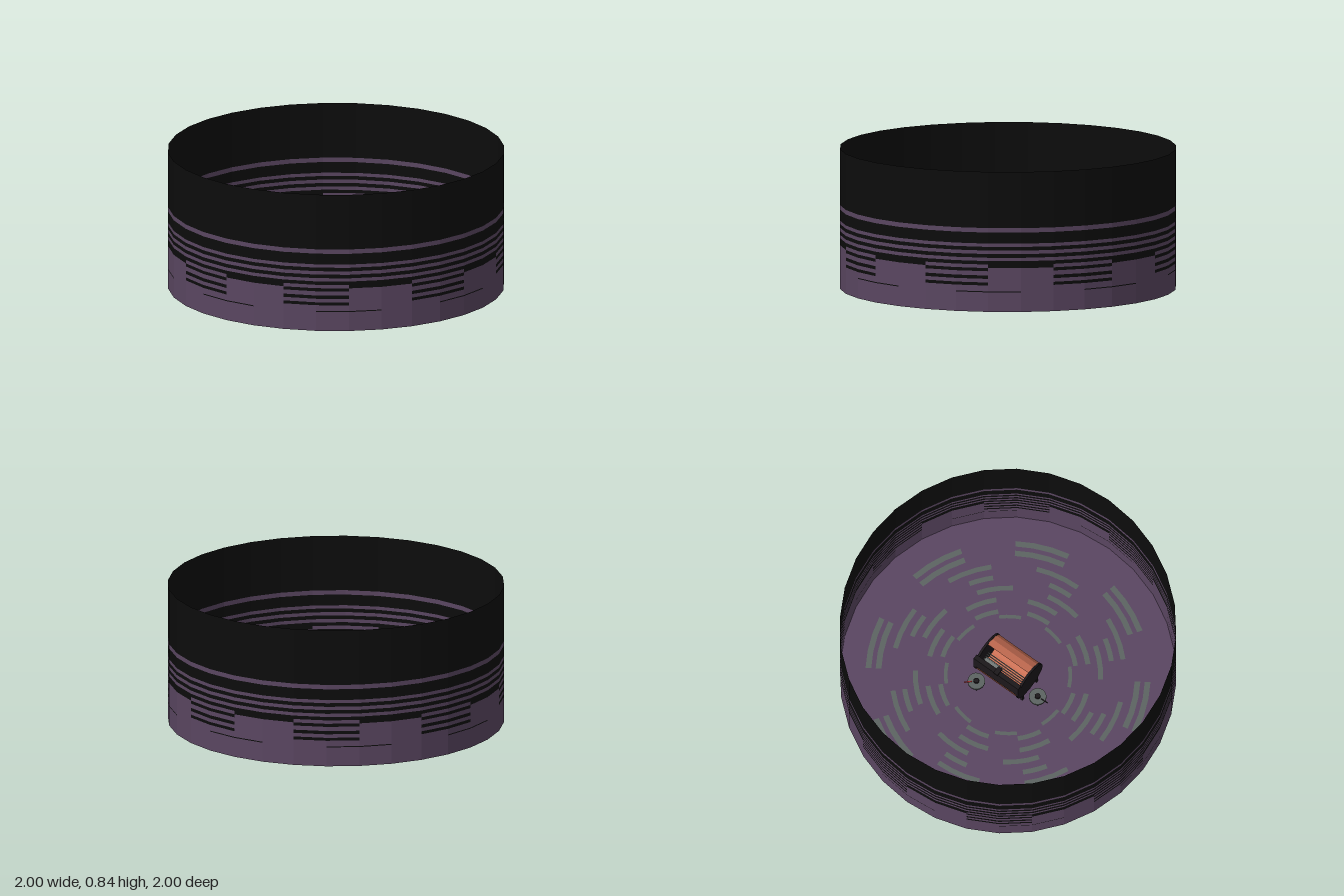
import * as THREE from 'three';
import { mergeGeometries } from 'three/addons/utils/BufferGeometryUtils.js';

const SIDES = 32, STEP = (Math.PI * 2) / SIDES;

function material(name, color, open = false) {
  const m = new THREE.MeshStandardMaterial({ color, flatShading: true });
  m.name = name;
  if (open) m.side = THREE.DoubleSide;
  return m;
}

export function createModel() {
  const purple = material('purple', 0x5a4661, true);
  const black = material('black', 0x0c0c0c, true);
  const sage = material('sage grey', 0x5c6461, true);
  const orange = material('terracotta', 0xc96f54, true);
  const charcoal = material('charcoal', 0x1c181b);
  const grey = material('grey', 0x747a78);
  const red = material('red', 0xb03030);

  const model = new THREE.Group();
  model.name = 'roundArena';
  const add = (parent, name, geometry, mat, x = 0, y = 0, z = 0) => {
    const mesh = new THREE.Mesh(geometry, mat);
    mesh.name = name;
    mesh.position.set(x, y, z);
    parent.add(mesh);
    return mesh;
  };

  // Wall: each side is a column of purple and black strips, repeating every four sides
  const purpleStrips = [], blackStrips = [];
  const strip = (list, col, y0, y1) => {
    const g = new THREE.CylinderGeometry(1, 1, y1 - y0, 1, 1, true, col * STEP, STEP);
    list.push(g.translate(0, (y0 + y1) / 2, 0));
  };
  const hoops = [[0.284, 0.305], [0.325, 0.347], [0.368, 0.39], [0.41, 0.476], [0.503, 0.84]];
  const slats = [[0.158, 0.176], [0.198, 0.218], [0.244, 0.263]];
  for (let col = 0; col < SIDES; col++) {
    const k = col % 4;
    const dark = [];
    if (k === 0 || k === 3) dark.push([0.117, 0.123]);
    if (k >= 2) dark.push(...slats);
    else dark.push([0.263, 0.284]);
    dark.push(...hoops);
    let y = 0;
    for (const [y0, y1] of dark) {
      if (y0 > y) strip(purpleStrips, col, y, y0);
      strip(blackStrips, col, y0, y1);
      y = y1;
    }
  }
  add(model, 'wallPanels', mergeGeometries(purpleStrips), purple);
  add(model, 'wallStripes', mergeGeometries(blackStrips), black);

  // Floor
  add(model, 'floor', new THREE.CircleGeometry(1, SIDES).rotateX(-Math.PI / 2), purple);

  // Floor dashes: [radius, start, length] in sides, repeated eight times
  const dashes = [
    [0.83, 1, 2, 0.034], [0.77, 1, 2, 0.034], [0.69, 0, 2, 0.03], [0.62, 0, 1.2, 0.03],
    [0.55, -1, 2, 0.03], [0.48, 0, 2, 0.03], [0.405, 0, 1.8, 0.028], [0.37, -1.8, 1.8, 0.022],
  ];
  const marks = [];
  for (let i = 0; i < 8; i++) {
    for (const [r, start, length, width] of dashes) {
      const from = (start + i * 4) * STEP - Math.PI / 2;
      const g = new THREE.RingGeometry(r - width / 2, r + width / 2, 2, 1, from, length * STEP);
      marks.push(g.rotateX(-Math.PI / 2));
    }
  }
  add(model, 'floorDashes', mergeGeometries(marks), sage, 0, 0.003, 0);

  // Barrel on legs, open at the upper back
  const barrel = new THREE.Group();
  barrel.name = 'barrel';
  barrel.position.y = 0.165;
  model.add(barrel);
  const body = new THREE.CylinderGeometry(0.122, 0.122, 0.3, 12, 1, true, Math.PI, Math.PI * 1.5);
  add(barrel, 'barrelBody', body.rotateZ(Math.PI / 2), orange);
  for (const s of [-1, 1]) {
    const cap = new THREE.CylinderGeometry(0.125, 0.125, 0.014, 16).rotateZ(Math.PI / 2);
    add(barrel, 'barrelEnd', cap, charcoal, s * 0.157, 0, 0);
    for (const z of [-0.07, 0.07]) {
      add(barrel, 'barrelLeg', new THREE.BoxGeometry(0.014, 0.1, 0.014), charcoal, s * 0.157, -0.115, z);
    }
  }
  add(barrel, 'backRail', new THREE.BoxGeometry(0.33, 0.12, 0.03), charcoal, 0, 0.06, -0.105);
  add(barrel, 'latch', new THREE.BoxGeometry(0.03, 0.015, 0.05), charcoal, 0, 0.125, -0.1);
  for (let i = 0; i < 6; i++) {
    add(barrel, 'grateBar', new THREE.BoxGeometry(0.28, 0.006, 0.005), grey, 0, 0.02, -0.08 + i * 0.014);
  }
  add(barrel, 'gratePlate', new THREE.BoxGeometry(0.1, 0.008, 0.035), grey, 0.08, 0.022, -0.06);

  // Two round stands with a dark hub and a short arm
  const stand = (x, z, armAngle, armMaterial) => {
    const g = new THREE.Group();
    g.name = 'roundStand';
    g.position.set(x, 0, z);
    g.rotation.y = armAngle;
    add(g, 'standPost', new THREE.CylinderGeometry(0.012, 0.012, 0.12, 8), charcoal, 0, 0.06, 0);
    add(g, 'standTop', new THREE.CylinderGeometry(0.052, 0.052, 0.016, 20), sage, 0, 0.125, 0);
    add(g, 'standHub', new THREE.CylinderGeometry(0.016, 0.018, 0.012, 12), charcoal, 0, 0.138, 0);
    add(g, 'standArm', new THREE.BoxGeometry(0.045, 0.006, 0.006), armMaterial, 0.05, 0.137, 0);
    model.add(g);
  };
  stand(0.1, -0.18, Math.PI / 4, red);
  stand(-0.25, -0.04, Math.PI, charcoal);

  return model;
}
